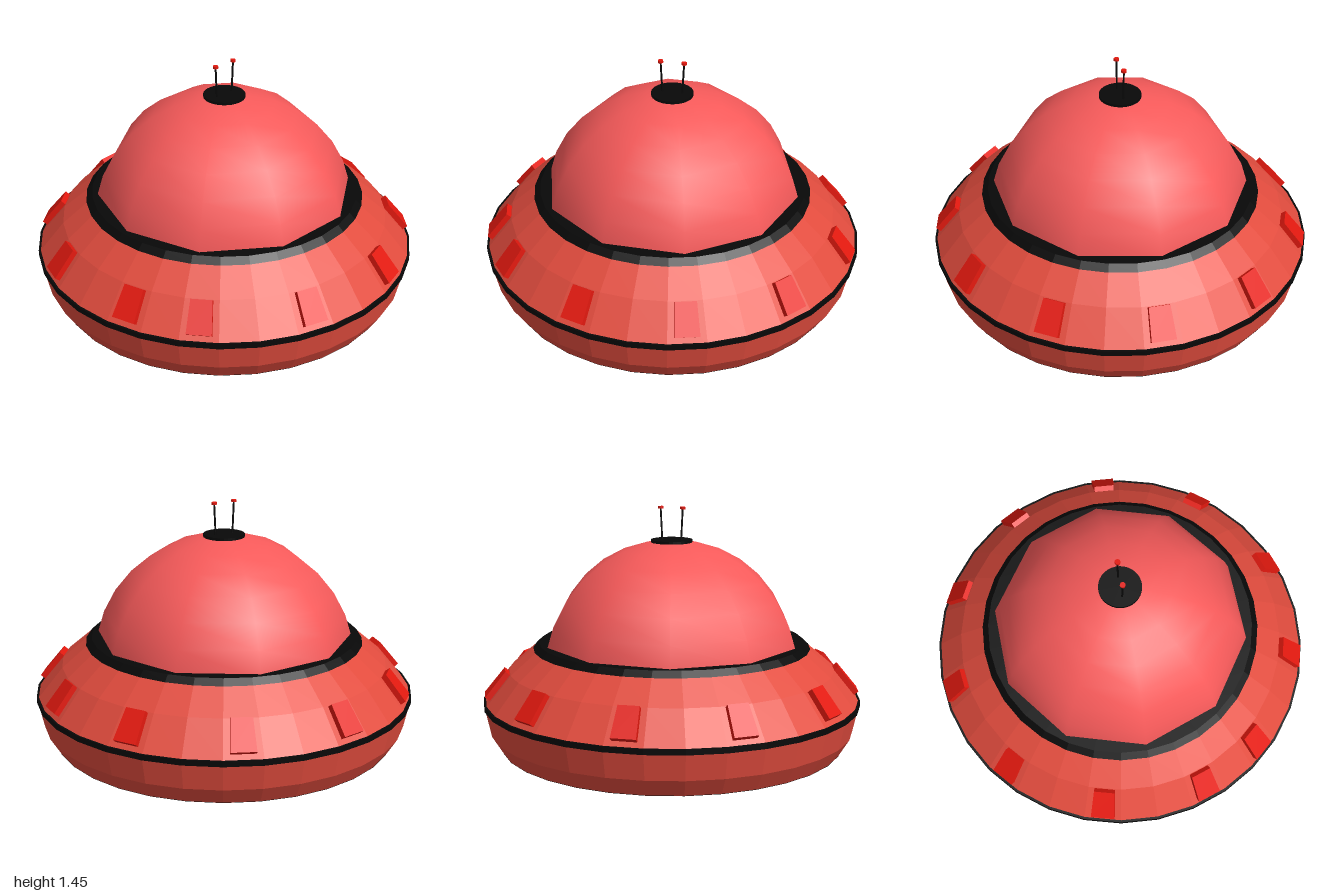
import * as THREE from 'three';

const SIDES = 32;
const STEP = (Math.PI * 2) / SIDES;

const paint = (color, options = {}) => {
  const material = new THREE.MeshStandardMaterial(options);
  material.color.set(color);
  return material;
};
const domeRed = paint(0xf75a5a);
const hullRed = paint(0xe24c3e, { flatShading: true });
const windowRed = paint(0xe3190f, { flatShading: true });
const black = paint(0x080808, { flatShading: true, side: THREE.DoubleSide });

function add(parent, name, geometry, material) {
  const mesh = new THREE.Mesh(geometry, material);
  mesh.name = name;
  parent.add(mesh);
  return mesh;
}

// Profile points are [radius, height], listed from the bottom up
function lathe(points, sides = SIDES) {
  return new THREE.LatheGeometry(points.map(([r, y]) => new THREE.Vector2(r, y)), sides);
}

// Arc of a sphere from angle a0 to a1 (measured up from the equator)
function arc(radius, centreY, a0, a1, steps) {
  return Array.from({ length: steps + 1 }, (_, i) => {
    const a = a0 + ((a1 - a0) * i) / steps;
    return [Math.max(0, radius * Math.cos(a)), centreY + radius * Math.sin(a)];
  });
}

// Slab tapering towards its top edge
function windowGeometry() {
  const geometry = new THREE.BoxGeometry(0.125, 0.17, 0.045);
  const p = geometry.attributes.position;
  for (let i = 0; i < p.count; i++) if (p.getY(i) > 0) p.setX(i, p.getX(i) * 0.86);
  geometry.computeVertexNormals();
  return geometry;
}

export function createModel() {
  const model = new THREE.Group();
  model.name = 'flyingSaucer';

  // Ten-sided cabin ball, slightly shallower below
  const half = Math.PI / 2;
  add(model, 'dome', lathe(arc(0.69, 0.585, 0, half, 8), 10), domeRed);
  add(model, 'belly', lathe(arc(0.635, 0.64, -half, 0, 8), 10), domeRed);

  // Faceted hull
  add(model, 'lowerHull', lathe([[0.91, 0.19], [0.965, 0.28], [0.995, 0.42]]), hullRed);
  add(model, 'upperHull', lathe([[0.995, 0.435], [0.86, 0.6], [0.725, 0.715]]), hullRed);

  // Black trim: waist belt, collar round the dome, recessed underside
  add(model, 'waistBelt', lathe([[0.99, 0.415], [1, 0.415], [1, 0.443], [0.98, 0.443]]), black);
  add(model, 'collar', lathe([[0.72, 0.712], [0.732, 0.712], [0.7, 0.742], [0.58, 0.742]]), black);
  add(model, 'underside', lathe([[0.3, 0.27], [0.9, 0.27], [0.9, 0.188], [0.91, 0.188]]), black);

  // Eleven windows, three facets apart, with one closer pair space at the front
  const windows = new THREE.Group();
  windows.name = 'windows';
  model.add(windows);
  const slab = windowGeometry();
  const lean = Math.atan2(0.135, 0.165);
  for (let i = 0; i < 11; i++) {
    const pivot = new THREE.Group();
    pivot.rotation.y = i === 10 ? 1.5 * STEP : -(1.5 + 3 * i) * STEP;
    windows.add(pivot);
    const pane = add(pivot, 'window', slab, windowRed);
    pane.position.set(0, 0.535, 0.918);
    pane.rotation.x = -lean;
  }

  // Cap disc with two slightly splayed antennas
  const cap = add(model, 'topCap', new THREE.CylinderGeometry(0.108, 0.108, 0.014, 32), black);
  cap.position.y = 1.272;
  for (const side of [-1, 1]) {
    const antenna = new THREE.Group();
    antenna.name = 'antenna';
    antenna.position.set(0, 1.275, side * 0.052);
    antenna.rotation.x = side * 0.05;
    model.add(antenna);
    add(antenna, 'antennaRod', new THREE.CylinderGeometry(0.005, 0.005, 0.17, 8), black).position.y = 0.085;
    add(antenna, 'antennaTip', new THREE.CylinderGeometry(0.014, 0.014, 0.012, 12), windowRed).position.y = 0.17;
  }
  return model;
}
